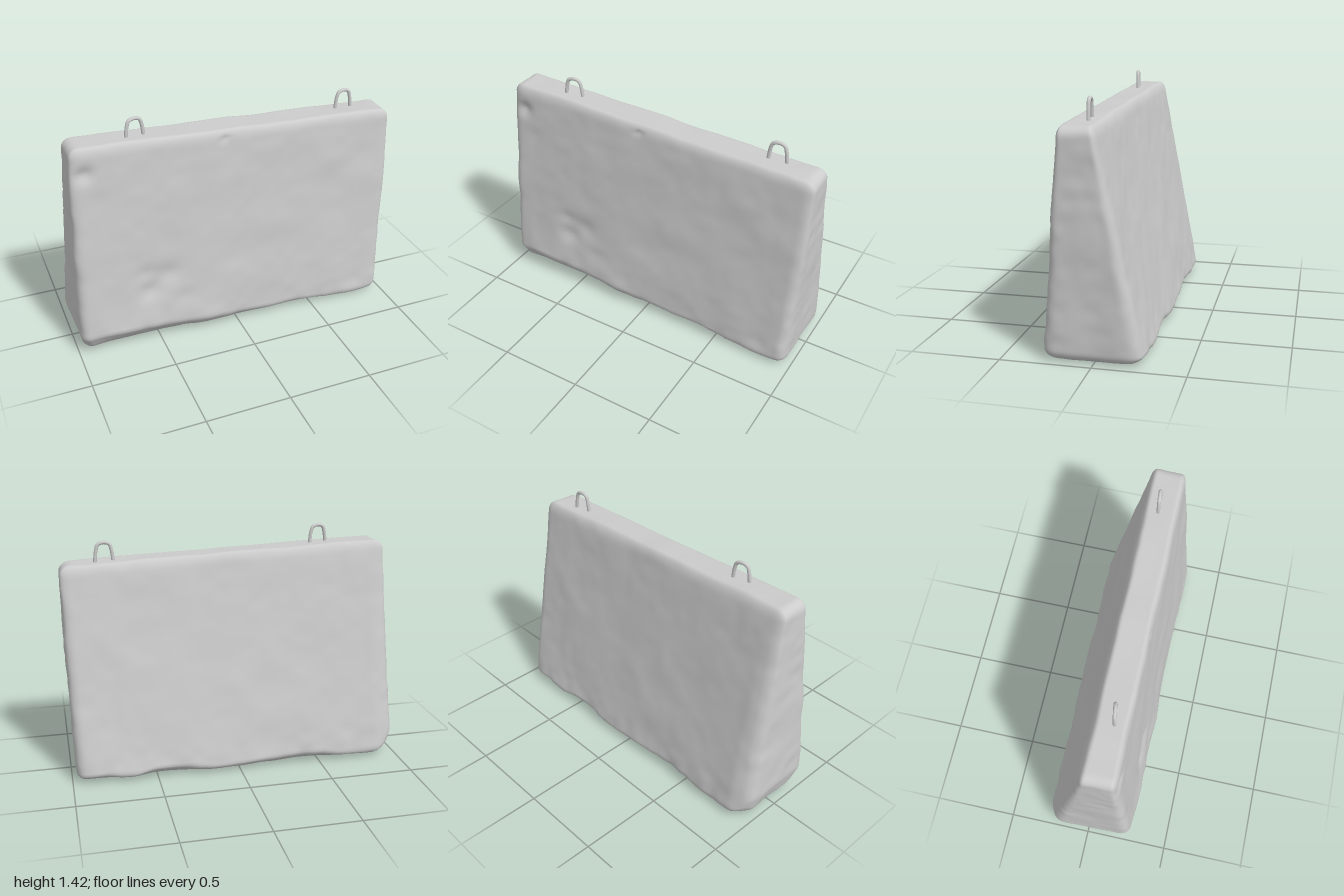
import * as THREE from 'three';
import { mergeVertices } from 'three/addons/utils/BufferGeometryUtils.js';

const { clamp, lerp, smoothstep } = THREE.MathUtils;
const material = new THREE.MeshStandardMaterial({ color: 0xcccccc, roughness: 0.9 });

// Smooth lattice noise in -1..1
function hash(x, y, z) {
  const s = Math.sin(x * 127.1 + y * 311.7 + z * 74.7) * 43758.5453;
  return (s - Math.floor(s)) * 2 - 1;
}
function noise(x, y, z) {
  const i = Math.floor(x), j = Math.floor(y), k = Math.floor(z);
  const [u, v, w] = [x - i, y - j, z - k].map((t) => t * t * (3 - 2 * t));
  const row = (b, c) => lerp(hash(i, b, c), hash(i + 1, b, c), u);
  const layer = (c) => lerp(row(j, c), row(j + 1, c), v);
  return lerp(layer(k), layer(k + 1), w);
}

// Chips in the front face: x, y, radius, depth
const dents = [
  [-0.55, 0.37, 0.07, 0.022], [-0.46, 0.46, 0.08, 0.018], [-0.58, 0.5, 0.05, 0.01],
  [-0.88, 1.17, 0.05, 0.022], [-0.07, 1.24, 0.02, 0.015], [-0.35, 0.3, 0.06, 0.008],
];

// Worn concrete slab: rounded box, tapered to a leaning wedge and roughened
function slabGeometry() {
  const half = new THREE.Vector3(1, 0.65, 0.22), radius = 0.06;
  const box = new THREE.BoxGeometry(2, 2, 2, 84, 60, 22);
  box.deleteAttribute('normal');
  box.deleteAttribute('uv');
  const geometry = mergeVertices(box, 1e-4);
  const pos = geometry.attributes.position;
  const p = new THREE.Vector3(), core = new THREE.Vector3();
  const inner = half.clone().subScalar(radius);
  const crowd = (t) => lerp(t, Math.sin(t * Math.PI / 2), 0.5);

  for (let i = 0; i < pos.count; i++) {
    p.fromBufferAttribute(pos, i);
    p.set(crowd(p.x), crowd(p.y), crowd(p.z)).multiply(half);
    core.copy(p).clamp(inner.clone().negate(), inner);
    p.sub(core).setLength(radius).add(core);

    // Taper and sloping top
    const t = clamp((p.y + 0.65) / 1.3, 0, 1);
    const s = (p.x + 1) / 2, f = (p.z / 0.22 + 1) / 2;
    let x = lerp(lerp(-1.0, -0.945, t), lerp(0.975, 0.995, t), s);
    let y = 0.01 + t * (1.278 - 0.038 * x);
    let z = lerp(lerp(-0.28, -0.015, t), lerp(0.28, 0.178, t), f);

    // Broken lower front edge, lower left end and lower back edge
    const chipHeight = 0.07 + 0.06 * smoothstep(-x, -0.6, 0.9) + 0.035 * noise(x * 5, 2.3, 0.5)
      - 0.05 * smoothstep(x, 0.4, 0.8);
    z -= Math.max(0, chipHeight - y) * 0.8 * smoothstep(f, 0.5, 1);
    z += Math.max(0, 0.05 + 0.03 * noise(x * 6, 7.1, 3) - y) * 0.8 * smoothstep(1 - f, 0.5, 1);
    x += Math.max(0, 0.15 - y) * 0.3 * smoothstep(-x, 0.85, 1);
    // Worn back left corner
    z += 0.04 * smoothstep(-x, 0.85, 1) * smoothstep(1 - f, 0.6, 1) * (1 - t);

    for (const [dx, dy, r, depth] of dents) {
      const d = Math.hypot(x - dx, (y - dy) * 1.2) / r;
      z -= depth * Math.exp(-d * d) * smoothstep(f, 0.6, 1);
    }

    // Surface roughness, stronger along the worn base
    const rough = 0.005 + 0.008 * (1 - smoothstep(y, 0.05, 0.25));
    x += 0.007 * noise(x * 6, y * 6 + 9, z * 6) + 0.003 * noise(x * 17, y * 17, z * 17);
    z += rough * noise(x * 5, y * 6, z * 5 + 4) + rough * 0.35 * noise(x * 15, y * 15, z * 15 + 2);
    y += 0.005 * noise(x * 6 + 5, y * 5, z * 7);
    pos.setXYZ(i, x, Math.max(0, y), z);
  }
  geometry.computeVertexNormals();
  return geometry;
}

// Bent bar lifting loop, its legs sunk in the top
function liftingLoop(name, x, top, z, turn) {
  const points = [
    [-0.056, -0.16], [-0.05, -0.09], [-0.045, -0.055], [-0.033, -0.021], [0, -0.01],
    [0.033, -0.021], [0.045, -0.055], [0.05, -0.09], [0.056, -0.16],
  ].map(([a, b]) => new THREE.Vector3(a, b, 0));
  const curve = new THREE.CatmullRomCurve3(points);
  const loop = new THREE.Mesh(new THREE.TubeGeometry(curve, 40, 0.0105, 10), material);
  loop.name = name;
  loop.position.set(x, top, z);
  loop.rotation.y = turn;
  return loop;
}

export function createModel() {
  const model = new THREE.Group();
  model.name = 'concreteBarrier';
  const slab = new THREE.Mesh(slabGeometry(), material);
  slab.name = 'slab';
  model.add(
    slab,
    liftingLoop('rightLiftingLoop', -0.56, 1.422, 0.092, 0.16),
    liftingLoop('leftLiftingLoop', 0.737, 1.378, 0.062, 0.08),
  );
  return model;
}
